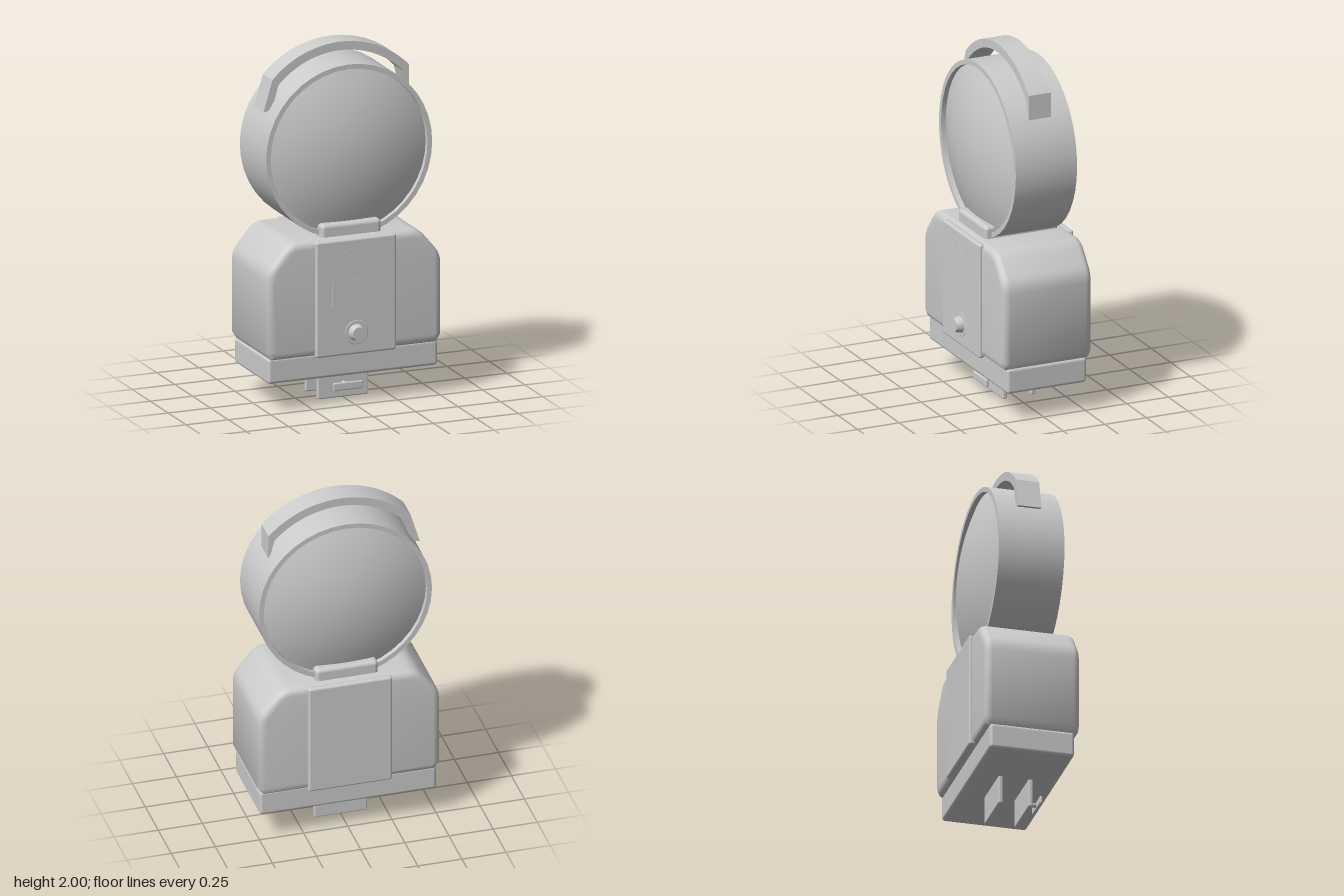
import * as THREE from 'three';
import { toCreasedNormals } from 'three/addons/utils/BufferGeometryUtils.js';
import { RoundedBoxGeometry } from 'three/addons/geometries/RoundedBoxGeometry.js';

const ZC = -0.022; // middle of the housing in depth

export function createModel() {
  const model = new THREE.Group();
  const grey = new THREE.MeshStandardMaterial({ color: 0xcccccc });

  const add = (name, geometry, x = 0, y = 0, z = 0) => {
    const mesh = new THREE.Mesh(geometry, grey);
    mesh.name = name;
    mesh.position.set(x, y, z);
    model.add(mesh);
    return mesh;
  };
  // Rounded box given by its extents
  const box = (name, [x0, x1], [y0, y1], [z0, z1], r) =>
    add(name, new RoundedBoxGeometry(x1 - x0, y1 - y0, z1 - z0, 3, r),
      (x0 + x1) / 2, (y0 + y1) / 2, (z0 + z1) / 2);
  // Lathe turned about the z axis; points are [radius, z]
  const turned = (points, segments, crease = 0.5) => toCreasedNormals(
    new THREE.LatheGeometry(points.map(p => new THREE.Vector2(...p)), segments).rotateX(Math.PI / 2), crease);

  // Battery housing: chamfered shoulders, softened edges
  const bevel = 0.04;
  const outline = new THREE.Shape();
  outline.moveTo(-0.465, 0.335);
  outline.lineTo(0.465, 0.335);
  outline.lineTo(0.475, 0.35);
  outline.lineTo(0.475, 0.74);
  outline.quadraticCurveTo(0.475, 0.78, 0.452, 0.805);
  outline.lineTo(0.385, 0.885);
  outline.quadraticCurveTo(0.36, 0.91, 0.33, 0.91);
  outline.lineTo(-0.33, 0.91);
  outline.quadraticCurveTo(-0.36, 0.91, -0.385, 0.885);
  outline.lineTo(-0.452, 0.805);
  outline.quadraticCurveTo(-0.475, 0.78, -0.475, 0.74);
  outline.lineTo(-0.475, 0.35);
  const depth = 0.535 - 2 * bevel;
  const housing = new THREE.ExtrudeGeometry(outline, {
    depth, curveSegments: 4, bevelEnabled: true, bevelSize: bevel, bevelThickness: bevel, bevelSegments: 4,
  });
  housing.translate(0, 0, -depth / 2);
  add('housing', toCreasedNormals(housing, 0.7), 0, 0, ZC);

  // Base and raised centre panels
  box('base', [-0.5, 0.5], [0.16, 0.305], [-0.26, 0.217], 0.018);
  box('frontPanel', [-0.237, 0.237], [0.29, 0.945], [0.225, 0.263], 0.013);
  box('backPanel', [-0.237, 0.237], [0.29, 0.945], [-0.306, -0.268], 0.013);

  // Front panel details
  add('labelPlate', new THREE.BoxGeometry(0.28, 0.145, 0.004), 0, 0.643, 0.2625);
  for (const x of [-0.063, 0.063])
    add('indicator', new THREE.CylinderGeometry(0.012, 0.012, 0.006, 16).rotateX(Math.PI / 2), x, 0.87, 0.262);
  add('knobFlange', turned([[0.07, 0], [0.066, 0.003], [0, 0.004]], 32), 0, 0.415, 0.262);
  add('knob', turned([[0.048, 0], [0.045, 0.015], [0.038, 0.043], [0, 0.043]], 24), 0, 0.415, 0.262);

  // Lamp mount, rim and double-sided lens
  box('lampMount', [-0.177, 0.177], [0.93, 1.02], [-0.242, 0.198], 0.022);
  const lampY = 1.413, rim = 0.49, bore = 0.463, half = 0.184;
  add('lampRim', turned([[bore, -half], [rim, -half], [rim, half], [bore, half], [bore, -half]], 40), 0, lampY, ZC);
  const lens = [];
  for (let i = -8; i <= 8; i++) {
    if (i === 0) continue;
    const s = Math.sign(i), r = bore * (Math.abs(i) - 1) / 7;
    lens.push([r, s * (0.251 - 0.095 * (r / bore) ** 2)]);
  }
  // Order from the rear apex, out to the rim, back to the front apex
  const rear = lens.filter(p => p[1] < 0).sort((a, b) => a[0] - b[0]);
  const front = lens.filter(p => p[1] > 0).sort((a, b) => b[0] - a[0]);
  add('lens', turned([...rear, ...front], 40), 0, lampY, ZC);

  // Carrying handle: arched strap with two slanted legs
  const strap = new THREE.Shape();
  const arcY = 1.445, outerR = 0.555, innerR = 0.507, a = 0.76;
  strap.moveTo(0.455, 1.65);
  strap.absarc(0, arcY, outerR, a, Math.PI - a, false);
  strap.lineTo(-0.455, 1.65);
  strap.lineTo(-0.405, 1.66);
  strap.absarc(0, arcY, innerR, Math.PI - a, a, true);
  strap.lineTo(0.405, 1.66);
  const handle = new THREE.ExtrudeGeometry(strap, { depth: 0.133, bevelEnabled: false, curveSegments: 16 });
  add('handle', toCreasedNormals(handle, 0.3), 0, 0, -0.09);

  // Mounting bracket under the base, with its clamp bolt
  for (const z of [0.066, -0.103])
    box('bracketPlate', [-0.15, 0.15], [0, 0.175], [z - 0.013, z + 0.013], 0.008);
  box('boltHead', [-0.087, 0.087], [0.058, 0.103], [0.135, 0.15], 0.007);
  add('boltStem', new THREE.CylinderGeometry(0.012, 0.012, 0.07, 16).rotateX(Math.PI / 2), 0, 0.08, 0.107);

  return model;
}
